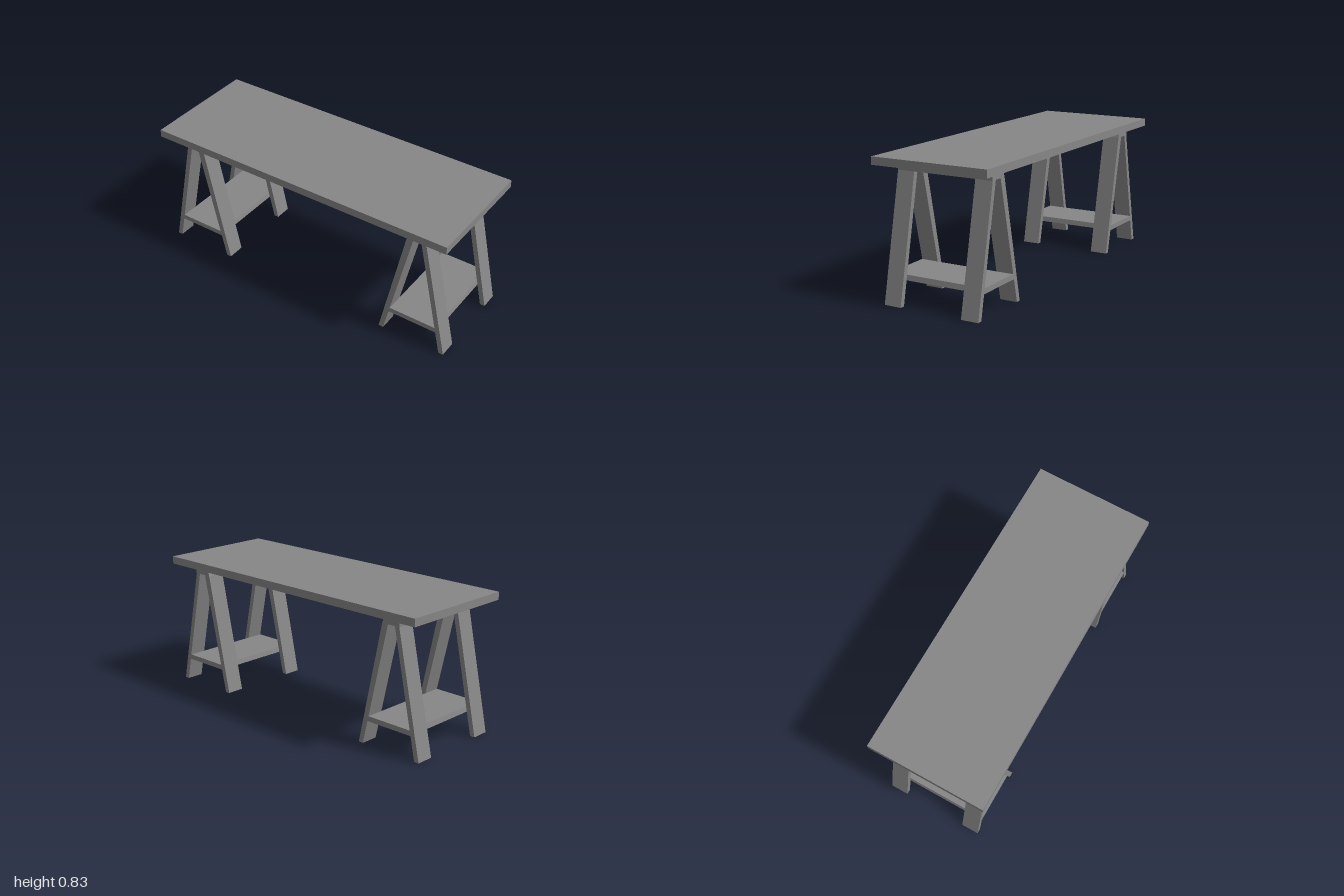
import * as THREE from 'three';

const material = new THREE.MeshStandardMaterial({ color: 0x868686 });

// Prism from an x-y outline, running from z0 to z1; side = -1 mirrors it in x
function prism(name, points, z0, z1, side) {
  const shape = new THREE.Shape(points.map(([x, y]) => new THREE.Vector2(x * side, y)));
  const geometry = new THREE.ExtrudeGeometry(shape, { depth: z1 - z0, bevelEnabled: false });
  geometry.translate(0, 0, z0);
  const mesh = new THREE.Mesh(geometry, material);
  mesh.name = name;
  return mesh;
}

const TOP_Y = 0.835, UNDER_Y = 0.788, BEAM_Y = 0.741;
const LEG_IN = 0.198, LEG_OUT = 0.307;

// Outlines for the trestle on the +x side
const beam = [[0.738, BEAM_Y], [0.845, BEAM_Y], [0.845, UNDER_Y], [0.738, UNDER_Y]];
const outerLeg = [[0.969, 0], [1, 0], [0.843, BEAM_Y], [0.812, BEAM_Y]];
const innerLeg = [[0.561, 0], [0.592, 0], [0.763, BEAM_Y], [0.738, BEAM_Y], [0.738, UNDER_Y], [0.722, BEAM_Y]];
const shelf = [[0.625, 0.143], [0.939, 0.143], [0.932, 0.174], [0.632, 0.174]];

function createTrestle(side) {
  const trestle = new THREE.Group();
  trestle.name = side > 0 ? 'leftTrestle' : 'rightTrestle';
  trestle.add(prism('beam', beam, -LEG_OUT, LEG_OUT, side));
  trestle.add(prism('shelf', shelf, -LEG_OUT, LEG_OUT, side));
  // A pair of splayed legs at the front and at the back
  for (const [place, z0, z1] of [['front', LEG_IN, LEG_OUT], ['back', -LEG_OUT, -LEG_IN]]) {
    trestle.add(prism(place + 'OuterLeg', outerLeg, z0, z1, side));
    trestle.add(prism(place + 'InnerLeg', innerLeg, z0, z1, side));
  }
  return trestle;
}

export function createModel() {
  const table = new THREE.Group();
  table.name = 'trestleTable';

  const tabletop = new THREE.Mesh(new THREE.BoxGeometry(2, TOP_Y - UNDER_Y, 0.74), material);
  tabletop.name = 'tabletop';
  tabletop.position.y = (TOP_Y + UNDER_Y) / 2;
  table.add(tabletop);

  for (const side of [-1, 1]) table.add(createTrestle(side));
  return table;
}
